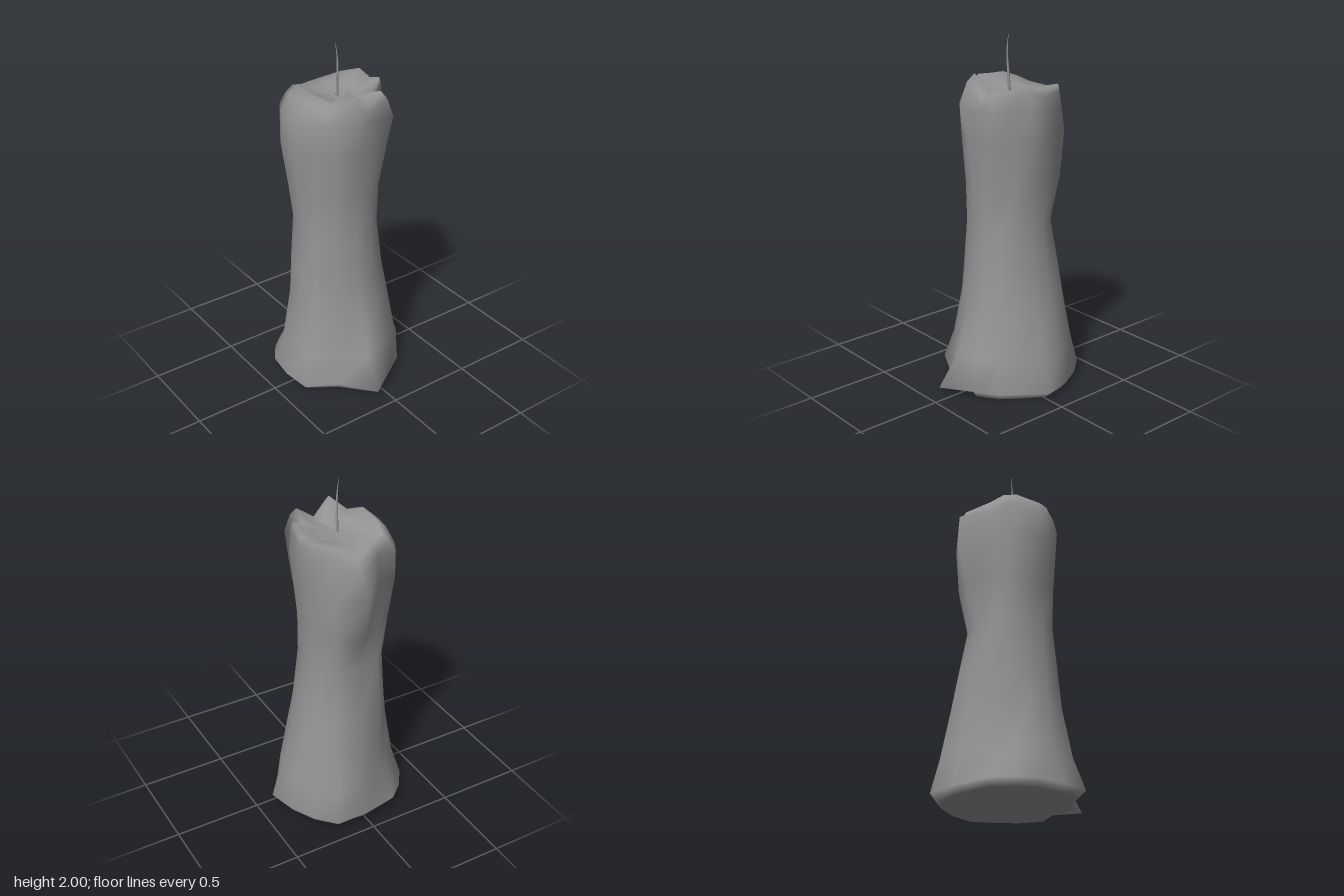
import * as THREE from 'three';

const CX = -0.05, CZ = 0.01; // axis of the candle

// Directions (degrees, +x towards +z) of the columns running up the wax
const ANGLES = [7, 35, 63, 87, 111, 130, 149, 182, 208, 230, 253, 276, 300, 320, 343];

// Height, twist in degrees and radius per column, from flared foot to lobed shoulder
const SECTIONS = [
  { y: 0.04, twist: 0, r: [.474, .347, .416, .388, .392, .385, .386, .37, .42, .39, .386, .41, .355, .362, .375] },
  { y: 0.22, twist: 0, r: [.35, .305, .35, .32, .335, .295, .29, .34, .375, .36, .35, .35, .33, .325, .325] },
  { y: 0.5, twist: 0, r: [.275, .27, .295, .29, .29, .28, .28, .285, .322, .315, .295, .285, .28, .28, .275] },
  { y: 0.66, twist: 0, r: [.255, .25, .28, .275, .275, .275, .28, .28, .295, .29, .265, .255, .25, .26, .25] },
  { y: 0.97, twist: 0, r: [.225, .235, .25, .25, .25, .255, .255, .235, .24, .235, .22, .21, .215, .222, .225] },
  { y: 1.2, twist: 0, r: [.235, .24, .255, .275, .28, .28, .255, .32, .295, .26, .235, .225, .215, .23, .23] },
  { y: 1.46, twist: 1, r: [.265, .26, .27, .305, .315, .315, .255, .37, .315, .275, .25, .25, .22, .275, .235] },
  { y: 1.63, twist: 7, r: [.292, .27, .28, .295, .305, .32, .26, .34, .28, .29, .255, .26, .21, .315, .23] },
];

// Wavy lip around the melt pool
const RIM_R = [.2, .2, .2, .19, .21, .25, .24, .285, .26, .28, .235, .235, .185, .25, .21];
const RIM_Y = [1.81, 1.735, 1.77, 1.765, 1.765, 1.735, 1.71, 1.69, 1.735, 1.755, 1.74, 1.775, 1.73, 1.77, 1.7];
const RIM_TWIST = 11;

function ring(radii, twist, height) {
  return ANGLES.map((deg, i) => {
    const a = THREE.MathUtils.degToRad(deg + twist);
    return [CX + Math.cos(a) * radii[i], height(i), CZ + Math.sin(a) * radii[i]];
  });
}

// Skin a stack of rings, closed by a point at the bottom and at the top
function loft(rings, bottom, top) {
  const n = ANGLES.length;
  const pos = [...rings.flat(2), ...bottom, ...top];
  const last = (rings.length - 1) * n, low = last + n, high = low + 1;
  const index = [];
  for (let j = 0; j < n; j++) {
    const next = (j + 1) % n;
    for (let k = 0; k < last; k += n) {
      index.push(k + j, k + j + n, k + next, k + next, k + j + n, k + next + n);
    }
    index.push(low, j, next, last + j, high, last + next);
  }
  const geo = new THREE.BufferGeometry();
  geo.setAttribute('position', new THREE.Float32BufferAttribute(pos, 3));
  geo.setIndex(index);
  geo.computeVertexNormals();
  return geo;
}

export function createModel() {
  const group = new THREE.Group();
  group.name = 'meltedCandle';
  const material = new THREE.MeshStandardMaterial({ color: 0x949494 });
  const add = (name, geo) => {
    const mesh = new THREE.Mesh(geo, material);
    mesh.name = name;
    group.add(mesh);
  };

  // Wax body: tucked-in bottom edge, column, rounded lip and sunken pool
  const foot = ring(SECTIONS[0].r.map((r, i) => (i === 0 ? 0.28 : Math.min(r * 0.92, 0.365))), 0, () => 0);
  const shoulder = SECTIONS[SECTIONS.length - 1].r;
  const lip = ring(shoulder.map((r, i) => r * 0.5 + RIM_R[i] * 0.5), 9, (i) => RIM_Y[i] - 0.04);
  const rim = ring(RIM_R, RIM_TWIST, (i) => RIM_Y[i]);
  const pool = ring(RIM_R.map((r) => r * 0.62), RIM_TWIST, (i) => 1.705 + (RIM_Y[i] - 1.705) * 0.15);
  const body = SECTIONS.map((s) => ring(s.r, s.twist, () => s.y));
  add('waxBody', loft([foot, ...body, lip, rim, pool], [CX, 0, CZ], [CX, 1.7, CZ]));

  // Thin curved wick, tapering to its tip
  const path = new THREE.CatmullRomCurve3([
    new THREE.Vector3(-0.055, 1.69, 0.01),
    new THREE.Vector3(-0.048, 1.8, 0.012),
    new THREE.Vector3(-0.042, 1.91, 0.016),
    new THREE.Vector3(-0.054, 2.0, 0.02),
  ]);
  const SEG = 10, SIDES = 6;
  const wick = new THREE.TubeGeometry(path, SEG, 0.008, SIDES);
  const p = wick.attributes.position;
  const v = new THREE.Vector3();
  for (let i = 0; i < p.count; i++) {
    const t = Math.floor(i / (SIDES + 1)) / SEG;
    const c = path.getPointAt(t);
    v.fromBufferAttribute(p, i).sub(c).multiplyScalar(1 - 0.9 * t * t).add(c);
    p.setXYZ(i, v.x, v.y, v.z);
  }
  wick.computeVertexNormals();
  add('wick', wick);

  return group;
}
